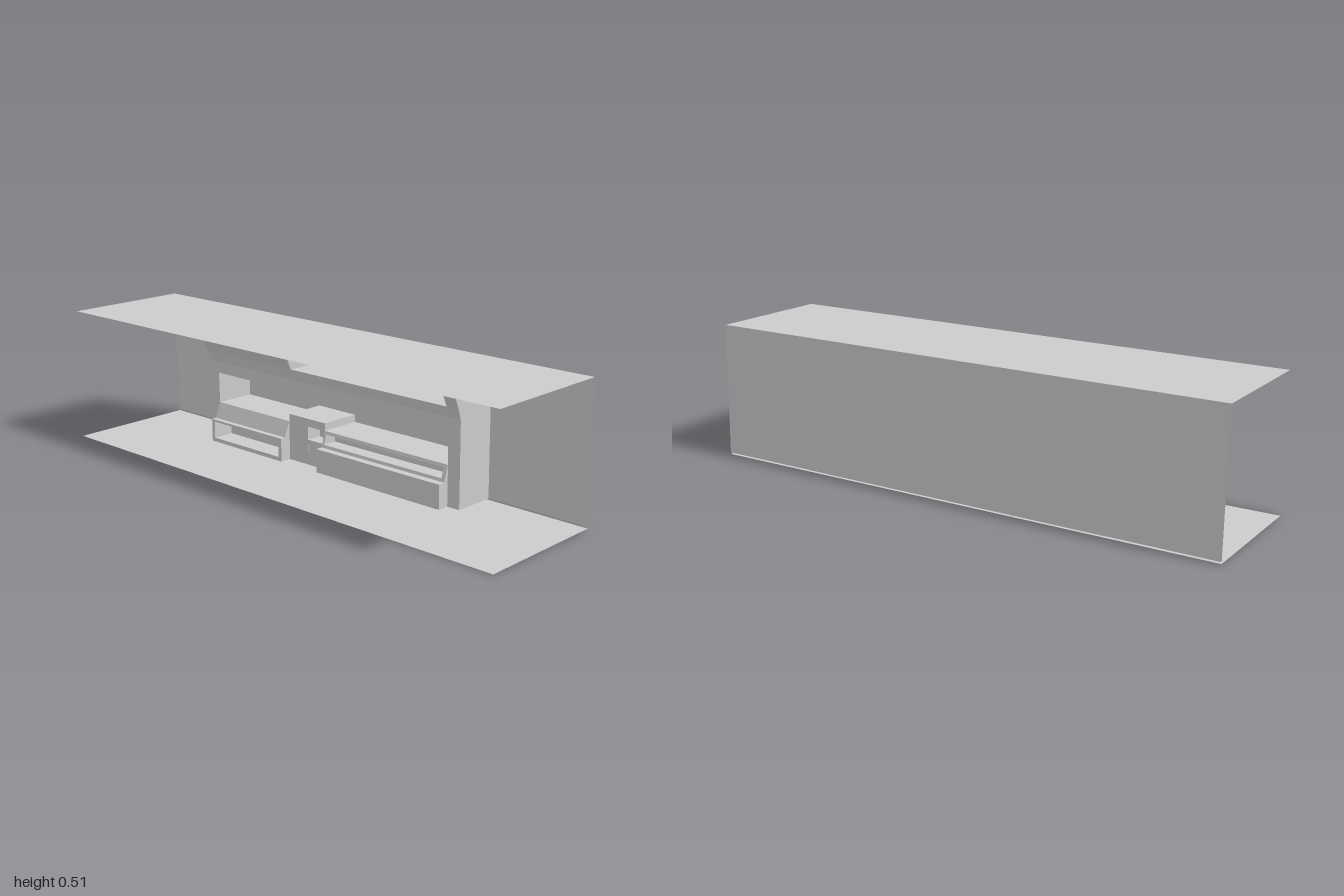
import * as THREE from 'three';

const material = new THREE.MeshStandardMaterial({ color: 0xcccccc, flatShading: true, side: THREE.DoubleSide });

// The rear wall leans very slightly forward
const backZ = (y) => -0.252 + 0.0245 * (y - 0.01);

// Front outline of the chimney breast as [z, y], bottom to top
const face = [[-0.09, 0.01], [-0.087, 0.16], [-0.083, 0.32], [-0.07, 0.36], [-0.007, 0.5]];

function faceZ(y) {
  for (let i = 1; i < face.length; i++) {
    const [z0, y0] = face[i - 1], [z1, y1] = face[i];
    if (y <= y1) return z0 + (z1 - z0) * (y - y0) / (y1 - y0);
  }
  return face[face.length - 1][0];
}

// Closes a front outline (bottom to top) against the rear wall
function againstWall(front) {
  const y0 = front[0][1], y1 = front[front.length - 1][1];
  return [[backZ(y0) + 0.001, y0], ...front, [backZ(y1) + 0.001, y1]];
}

// Part of the chimney breast between two heights
function band(y0, y1) {
  const inner = face.filter(([, y]) => y > y0 + 1e-6 && y < y1 - 1e-6);
  return againstWall([[faceZ(y0), y0], ...inner, [faceZ(y1), y1]]);
}

export function createModel() {
  const model = new THREE.Group();

  // Side profile in [z, y], extruded from x0 to x1
  function prism(name, x0, x1, profile) {
    const shape = new THREE.Shape(profile.map(([z, y]) => new THREE.Vector2(-z, y)));
    const geo = new THREE.ExtrudeGeometry(shape, { depth: x1 - x0, bevelEnabled: false });
    geo.rotateY(Math.PI / 2).translate(x0, 0, 0);
    const mesh = new THREE.Mesh(geo, material);
    mesh.name = name;
    model.add(mesh);
  }

  // Thin sheet across the full width between two [z, y] lines
  function sheet(name, [z0, y0], [z1, y1]) {
    const geo = new THREE.PlaneGeometry(2, 1);
    const pos = geo.attributes.position;
    for (let i = 0; i < pos.count; i++) {
      const top = pos.getY(i) > 0;
      pos.setXYZ(i, pos.getX(i), top ? y1 : y0, top ? z1 : z0);
    }
    geo.computeVertexNormals();
    const mesh = new THREE.Mesh(geo, material);
    mesh.name = name;
    model.add(mesh);
  }

  // Room shell
  sheet('floor', [0.25, 0], [-0.252, 0.005]);
  sheet('ceiling', [0.25, 0.502], [-0.24, 0.506]);
  sheet('rearWall', [-0.252, 0.011], [-0.24, 0.506]);

  // Chimney breast: side posts, and the hood with its upper niche
  prism('rightPost', -0.61, -0.56, band(0.01, 0.5));
  prism('leftPost', 0.56, 0.61, band(0.01, 0.5));
  prism('hood', -0.56, -0.155, band(0.275, 0.5));
  prism('nicheSill', -0.155, 0.56, band(0.275, 0.36));
  prism('nicheLintel', -0.155, 0.56, band(0.46, 0.5));

  // Low cabinet with a sloped ledge and an open shelf in its front
  const ledge = [[-0.044, 0.098], [-0.063, 0.099], [-0.087, 0.157]];
  const shelf = [[-0.045, 0.025], [-0.13, 0.025], [-0.13, 0.09], [-0.044, 0.09]];
  const cabinet = againstWall([[-0.045, 0.01], ...ledge]);
  prism('cabinetEnd', -0.56, -0.545, cabinet);
  prism('cabinetShelf', -0.545, -0.195, againstWall([[-0.045, 0.01], ...shelf, ...ledge]));
  prism('cabinetEnd', -0.195, -0.18, cabinet);

  // Centre block with a small square opening
  const block = againstWall([[-0.09, 0.01], [-0.087, 0.185]]);
  const pocket = [[-0.089, 0.105], [-0.15, 0.105], [-0.15, 0.155], [-0.088, 0.155]];
  prism('centreBlockSide', -0.18, -0.085, block);
  prism('centreBlockPocket', -0.085, -0.01, againstWall([[-0.09, 0.01], ...pocket, [-0.087, 0.185]]));
  prism('centreBlockSide', -0.01, 0, block);

  // Bench with a long slot in its sloped back
  const slopeZ = (y) => -0.07 - 0.017 * (y - 0.099) / 0.058;
  const seat = [[-0.045, 0.01], [-0.044, 0.098], [-0.07, 0.099]];
  const slot = [[slopeZ(0.11), 0.11], [-0.13, 0.11], [-0.13, 0.146], [slopeZ(0.146), 0.146]];
  const bench = againstWall([...seat, [-0.087, 0.157]]);
  prism('benchEnd', 0, 0.01, bench);
  prism('benchSlot', 0.01, 0.545, againstWall([...seat, ...slot, [-0.087, 0.157]]));
  prism('benchEnd', 0.545, 0.56, bench);

  return model;
}
